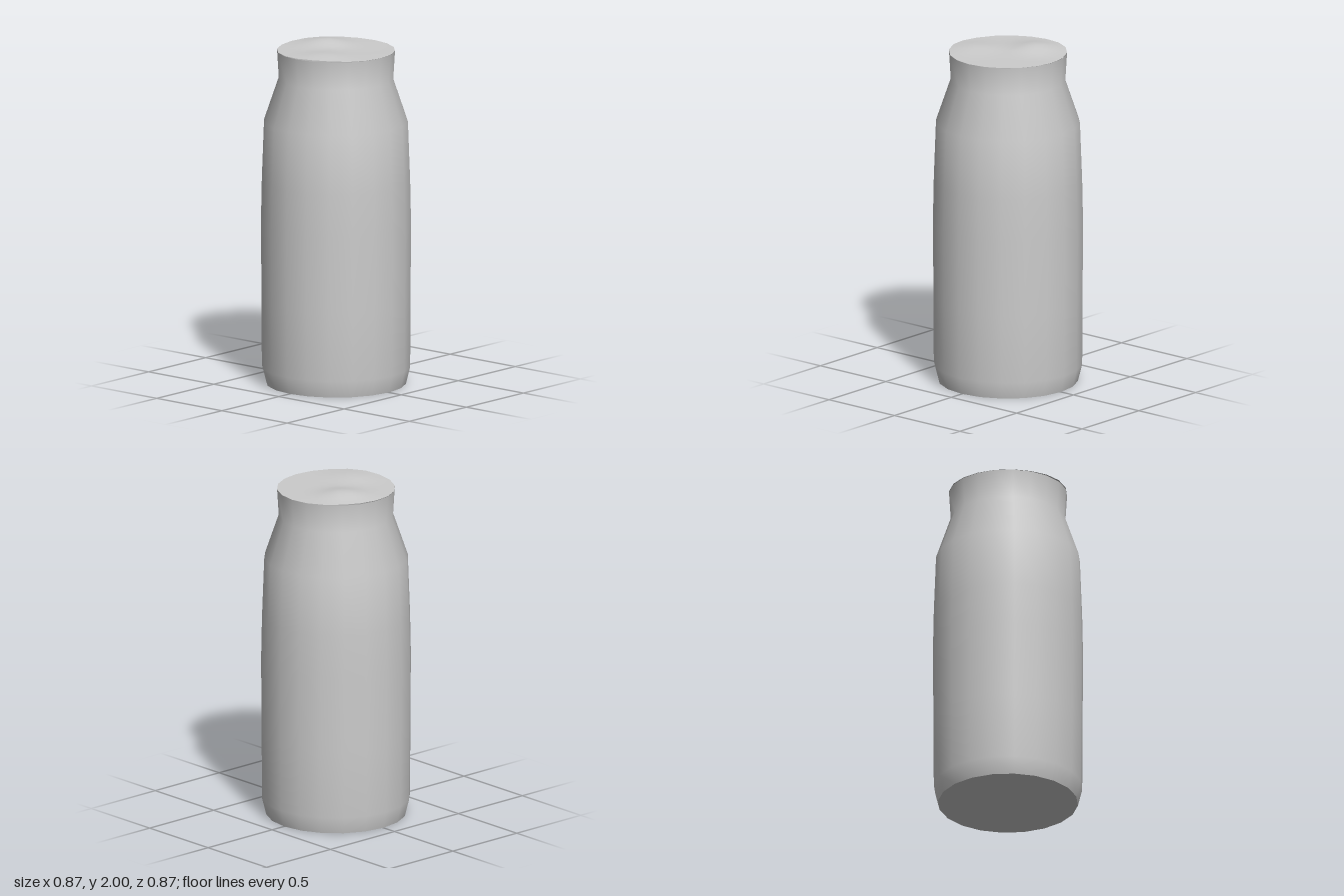
import * as THREE from 'three';
import { mergeVertices } from 'three/addons/utils/BufferGeometryUtils.js';

const SIDES = 20;

function lathe(points) {
  return new THREE.LatheGeometry(points.map(([r, y]) => new THREE.Vector2(r, y)), SIDES);
}

export function createModel() {
  const group = new THREE.Group();
  const material = new THREE.MeshStandardMaterial({ color: 0xcccccc, side: THREE.DoubleSide });
  const add = (name, geometry) => {
    const mesh = new THREE.Mesh(geometry, material);
    mesh.name = name;
    group.add(mesh);
  };

  // Jar wall: chamfered foot, slightly bulging body, sloped shoulder, flared neck
  add('jarWall', lathe([
    [0.405, 0], [0.43, 0.1], [0.432, 0.5], [0.435, 0.95], [0.43, 1.2],
    [0.417, 1.55], [0.332, 1.8], [0.342, 1.966],
  ]));

  // Flat base, separate so that its edge stays sharp
  add('jarBase', lathe([[0, 0], [0.405, 0]]));

  // Gently rippled surface filling the mouth
  const rings = 8;
  const profile = [];
  for (let i = 0; i <= rings; i++) profile.push([0.342 * (1 - i / rings), 0]);
  let surface = lathe(profile);
  surface.deleteAttribute('uv');
  surface.deleteAttribute('normal');
  const bump = (x, z, cx, cz, size) => Math.exp(-((x - cx) ** 2 + (z - cz) ** 2) / (size * size));
  const pos = surface.attributes.position;
  for (let i = 0; i < pos.count; i++) {
    const x = pos.getX(i), z = pos.getZ(i);
    pos.setY(i, 1.967 + 0.032 * bump(x, z, -0.15, -0.08, 0.13) + 0.018 * bump(x, z, 0.08, 0.2, 0.14));
  }
  surface = mergeVertices(surface);
  surface.computeVertexNormals();
  add('mouthSurface', surface);

  return group;
}
